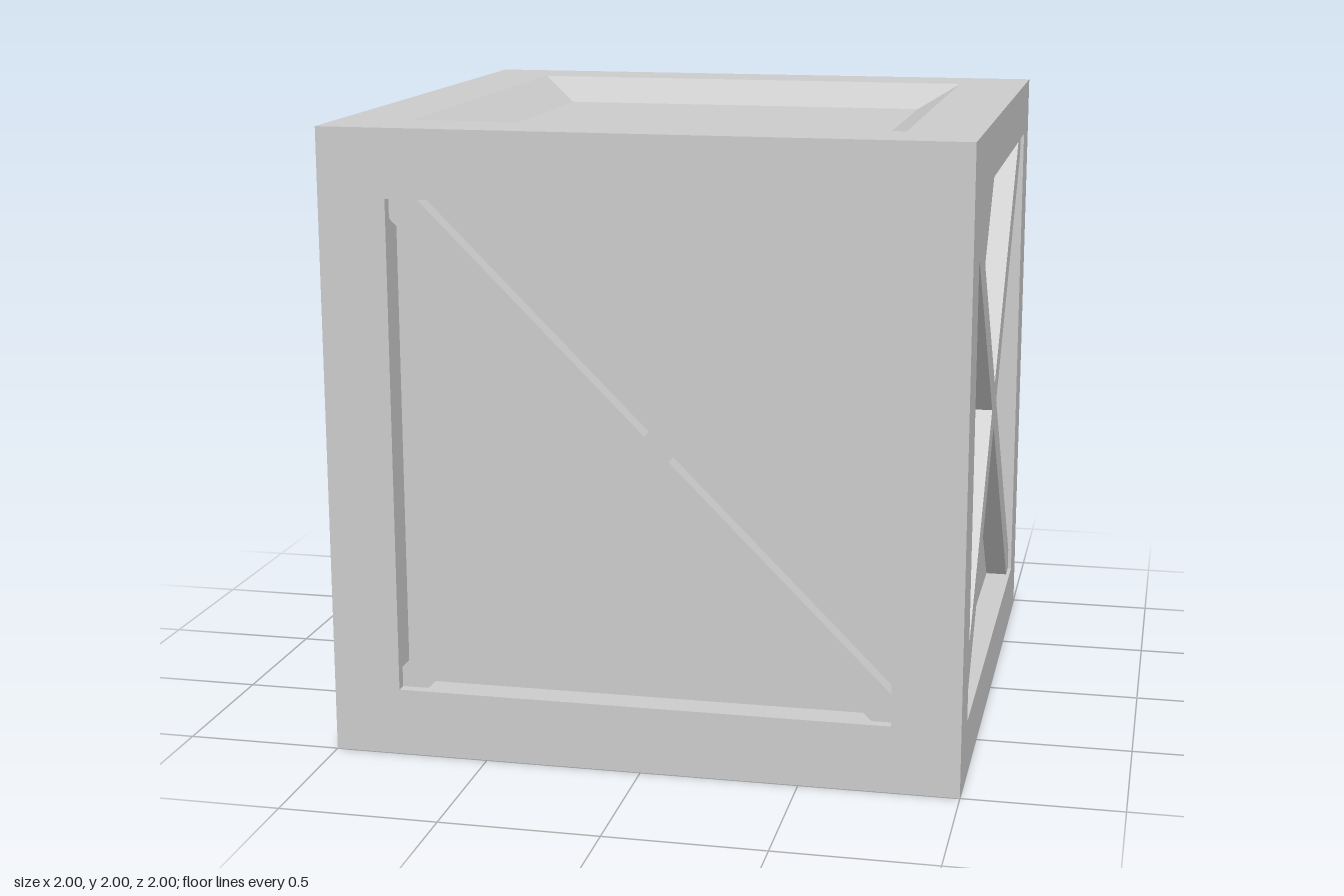
import * as THREE from 'three';

const material = new THREE.MeshStandardMaterial({ color: 0xcccccc, flatShading: true });

function addMesh(parent, name, geometry) {
  const mesh = new THREE.Mesh(geometry, material);
  mesh.name = name;
  parent.add(mesh);
  return mesh;
}

// One crate face looking along +z: square rim, recess walls and sunken panel
function makeFace(name, opening, floor, depth) {
  const face = new THREE.Group();
  face.name = name;
  const profile = [[1, 1], [opening, 1], [floor, 1 - depth]]
    .map(([half, height]) => new THREE.Vector2(half * Math.SQRT2, height));
  const rim = new THREE.LatheGeometry(profile, 4, Math.PI / 4).toNonIndexed();
  rim.rotateX(Math.PI / 2);
  rim.computeVertexNormals();
  addMesh(face, 'frame', rim);
  const panel = new THREE.PlaneGeometry(floor * 2, floor * 2);
  addMesh(face, 'panel', panel).position.z = 1 - depth;
  return face;
}

// Diagonal cross brace, its ends trimmed to the square opening
function makeBrace(half, width, shift, thickness) {
  const quadrant = [[width, 0], [half, half - width], [half, half], [half - width, half]];
  const points = [];
  for (let k = 0; k < 4; k++) {
    for (const [px, py] of quadrant) {
      let x = px, y = py;
      for (let i = 0; i < k; i++) [x, y] = [-y, x];
      // shift the crossing point sideways while keeping the ends on the frame
      if (Math.abs(x) < half - 0.001) x += shift;
      else if (Math.abs(y) < half - 0.001) y -= Math.sign(x) * Math.sign(y) * shift;
      points.push(new THREE.Vector2(x, y));
    }
  }
  return new THREE.ExtrudeGeometry(new THREE.Shape(points), { depth: thickness, bevelEnabled: false });
}

export function createModel() {
  const crate = new THREE.Group();
  crate.name = 'crate';
  const body = new THREE.Group();
  body.name = 'body';
  body.position.y = 1;
  crate.add(body);

  // Four braced sides: turn, opening, recess depth, brace setback, crossing shift
  const sides = [
    ['frontSide', 0, 0.785, 0.1, 0.035, 0.01],
    ['leftSide', Math.PI / 2, 0.82, 0.085, 0.012, 0],
    ['backSide', Math.PI, 0.8, 0.045, 0.01, 0],
    ['rightSide', -Math.PI / 2, 0.838, 0.12, 0.012, 0],
  ];
  for (const [name, turn, opening, depth, setback, shift] of sides) {
    const face = makeFace(name, opening, opening, depth);
    const brace = makeBrace(opening, 0.075, shift, depth - setback);
    addMesh(face, 'crossBrace', brace).position.z = 1 - depth;
    face.rotation.y = turn;
    body.add(face);
  }

  // Lid and base have plain recesses with sloping walls
  const lid = makeFace('lid', 0.77, 0.635, 0.08);
  lid.rotation.x = -Math.PI / 2;
  const base = makeFace('base', 0.83, 0.58, 0.07);
  base.rotation.x = Math.PI / 2;
  body.add(lid, base);

  return crate;
}
